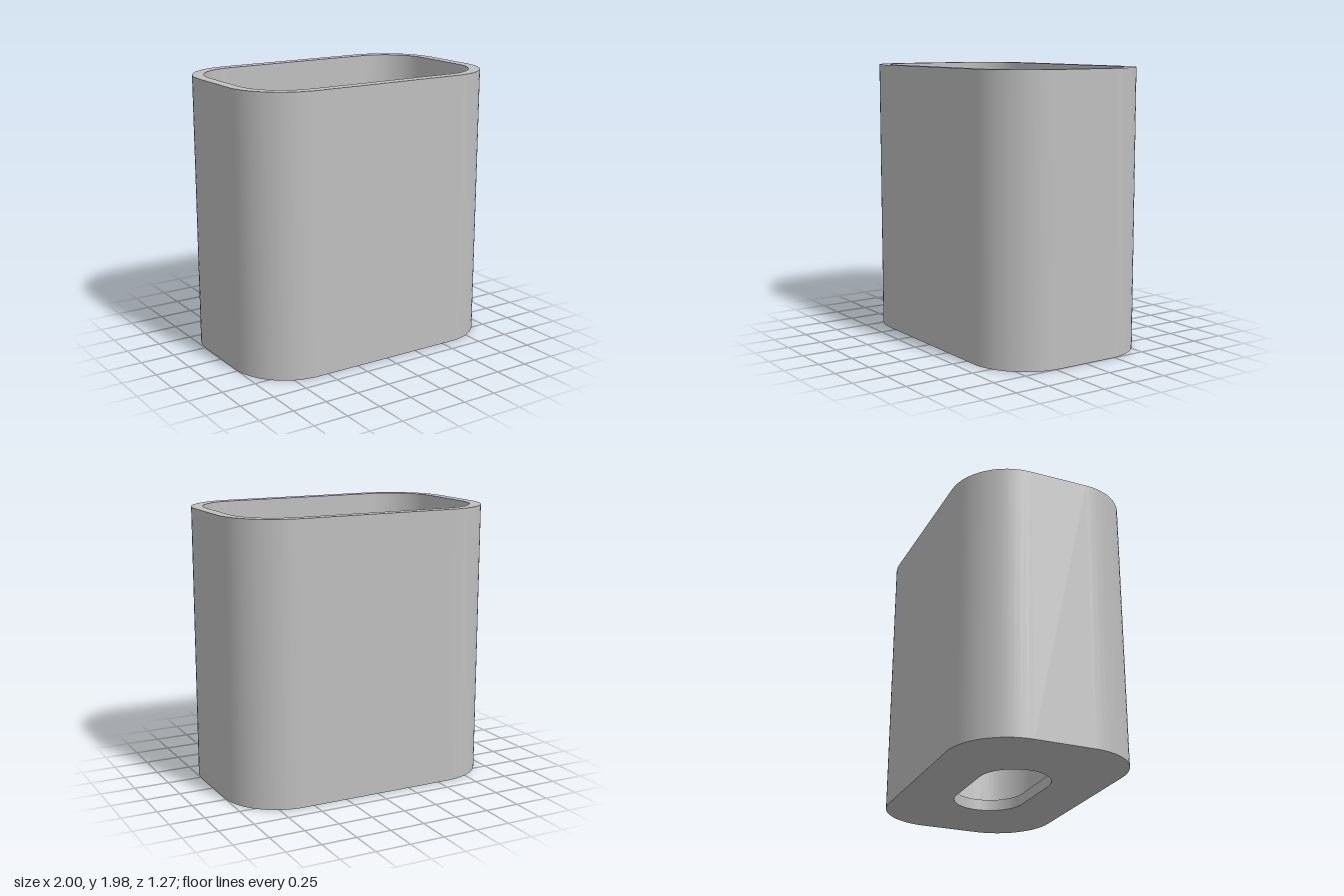
import * as THREE from 'three';

const HEIGHT = 1.98, FLOOR = 0.08, SEGMENTS = 16;

// Rounded-rectangle loop, counter-clockwise from above, with its outward normals
function roundedLoop(halfX, halfZ, radius) {
  const points = [], normals = [];
  const signs = [[1, 1], [-1, 1], [-1, -1], [1, -1]];
  signs.forEach(([sx, sy], corner) => {
    for (let i = 0; i <= SEGMENTS; i++) {
      const a = (corner + i / SEGMENTS) * Math.PI / 2;
      const n = new THREE.Vector2(Math.cos(a), Math.sin(a));
      normals.push(n);
      points.push(new THREE.Vector2(
        sx * (halfX - radius) + n.x * radius,
        sy * (halfZ - radius) + n.y * radius));
    }
  });
  return { points, normals };
}

// Smooth vertical wall along a loop; side is 1 to face outward, -1 to face inward
function wall({ points, normals }, y0, y1, side) {
  const position = [], normal = [], index = [];
  const count = points.length;
  points.forEach((p, i) => {
    const n = normals[i];
    for (const y of [y0, y1]) {
      position.push(p.x, y, -p.y);
      normal.push(n.x * side, 0, -n.y * side);
    }
    const a = 2 * i, b = 2 * ((i + 1) % count);
    if (side > 0) index.push(a, b, b + 1, a, b + 1, a + 1);
    else index.push(a, b + 1, b, a, a + 1, b + 1);
  });
  const geometry = new THREE.BufferGeometry();
  geometry.setAttribute('position', new THREE.Float32BufferAttribute(position, 3));
  geometry.setAttribute('normal', new THREE.Float32BufferAttribute(normal, 3));
  geometry.setIndex(index);
  return geometry;
}

// Flat ring between two loops; side is 1 to face up, -1 to face down
function ring(outer, inner, y, side) {
  const shape = new THREE.Shape(outer.points);
  shape.holes.push(new THREE.Path(inner.points));
  return new THREE.ShapeGeometry(shape).rotateX(-side * Math.PI / 2).translate(0, y, 0);
}

export function createModel() {
  const group = new THREE.Group();
  group.name = 'openSleeve';
  const grey = new THREE.MeshStandardMaterial({ color: 0xbfbfbf });
  grey.name = 'grey';

  const outer = roundedLoop(1, 0.635, 0.42);
  const inner = roundedLoop(0.918, 0.553, 0.338);
  const slot = roundedLoop(0.468, 0.255, 0.255);

  const parts = {
    outerWall: wall(outer, 0, HEIGHT, 1),
    innerWall: wall(inner, FLOOR, HEIGHT, -1),
    slotWall: wall(slot, 0, FLOOR, -1),
    rim: ring(outer, inner, HEIGHT, 1),
    floorTop: ring(inner, slot, FLOOR, 1),
    underside: ring(outer, slot, 0, -1),
  };
  for (const [name, geometry] of Object.entries(parts)) {
    const mesh = new THREE.Mesh(geometry, grey);
    mesh.name = name;
    group.add(mesh);
  }
  return group;
}
